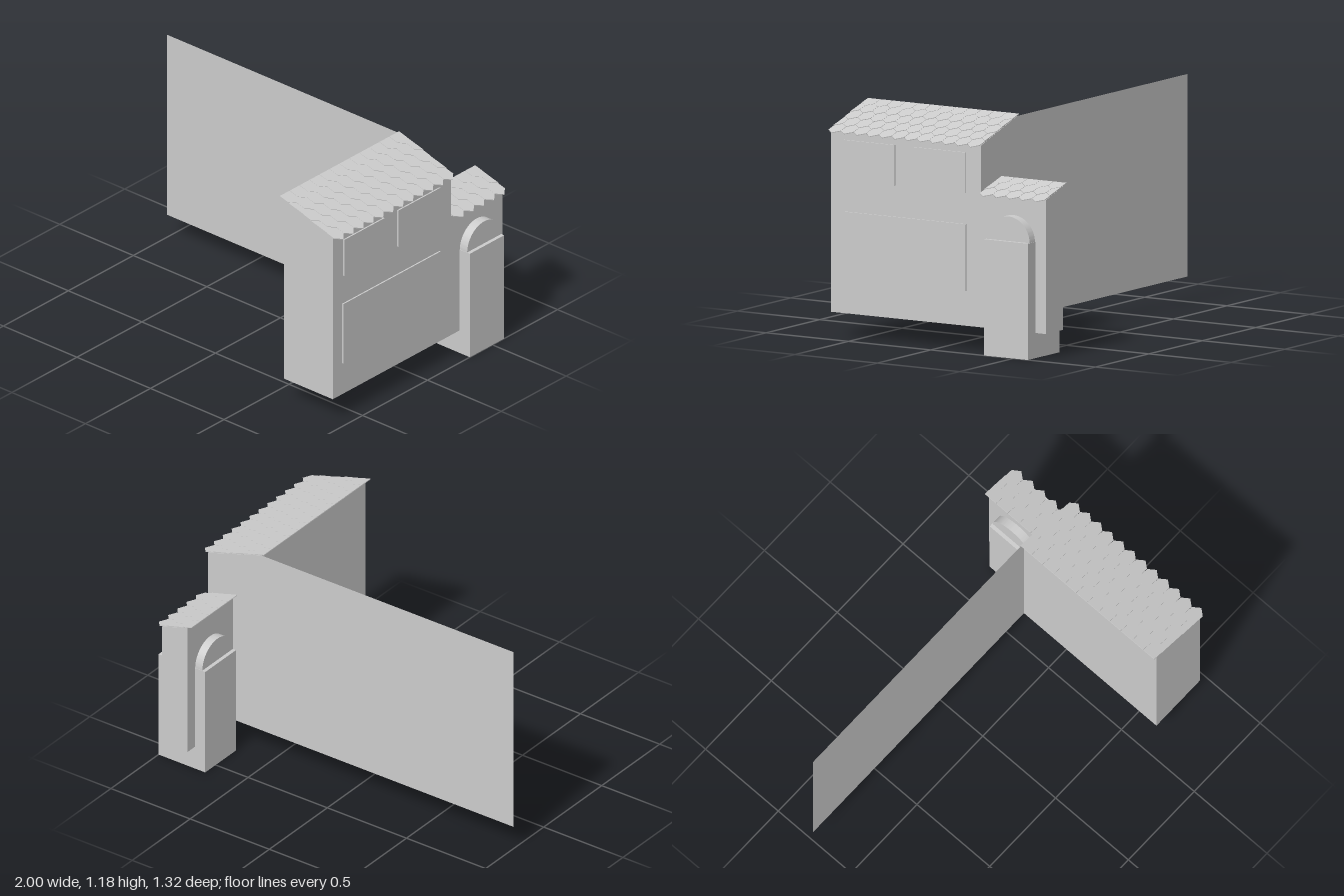
import * as THREE from 'three';
import { mergeGeometries, toCreasedNormals } from 'three/addons/utils/BufferGeometryUtils.js';

const material = new THREE.MeshStandardMaterial({ color: 0xcccccc });
const thinMaterial = new THREE.MeshStandardMaterial({ color: 0xcccccc, side: THREE.DoubleSide });
const SLOPE = 0.305; // roof pitch in radians

function box(name, x0, x1, y0, y1, z0, z1) {
  const mesh = new THREE.Mesh(new THREE.BoxGeometry(x1 - x0, y1 - y0, z1 - z0), material);
  mesh.position.set((x0 + x1) / 2, (y0 + y1) / 2, (z0 + z1) / 2);
  mesh.name = name;
  return mesh;
}

// Block with a lean-to top, extruded along z
function leanTo(name, x0, x1, y0, yHigh, z0, z1) {
  const yLow = yHigh - (x1 - x0) * Math.tan(SLOPE);
  const shape = new THREE.Shape([[x0, y0], [x1, y0], [x1, yLow], [x0, yHigh]].map(p => new THREE.Vector2(...p)));
  const mesh = new THREE.Mesh(new THREE.ExtrudeGeometry(shape, { depth: z1 - z0, bevelEnabled: false }), material);
  mesh.position.z = z0;
  mesh.name = name;
  return mesh;
}

// One pointed shingle: u runs down the slope, w across it; side -1 or 1 gives a half shingle
function shingle(head, tip, w, width, side) {
  const h = width / 2 - 0.001, shoulder = tip - 0.032;
  const left = side > 0 ? 0 : -h, right = side < 0 ? 0 : h;
  const points = [[head, left], [left ? shoulder : tip, left]];
  if (!side) points.push([tip, 0]);
  points.push([right ? shoulder : tip, right], [head, right]);
  const shape = new THREE.Shape(points.map(([u, v]) => new THREE.Vector2(u - head, v)));
  const g = new THREE.ExtrudeGeometry(shape, { depth: 0.004, bevelEnabled: false });
  g.rotateX(-Math.PI / 2).rotateZ(0.04).translate(head, 0, -w);
  return g;
}

// Staggered rows of shingles on the slope
function tiledRoof(name, x, y, z0, z1, length, rows, columns) {
  const width = (z1 - z0) / columns, pitch = length / (rows + 0.1);
  const parts = [];
  for (let r = 0; r < rows; r++) {
    const tip = length - r * pitch, head = Math.max(0, tip - 0.12);
    const shifted = r % 2;
    for (let c = 0; c < columns + shifted; c++) {
      const w = (c + (shifted ? 0 : 0.5)) * width;
      const side = shifted && c === 0 ? 1 : shifted && c === columns ? -1 : 0;
      parts.push(shingle(head, tip, w, width, side));
    }
  }
  const mesh = new THREE.Mesh(mergeGeometries(parts), material);
  mesh.position.set(x, y, z1);
  mesh.rotation.z = -SLOPE;
  mesh.name = name;
  return mesh;
}

export function createModel() {
  const model = new THREE.Group();
  model.name = 'building';

  // Long thin wall, flush with the end of the main block
  const wall = new THREE.Mesh(new THREE.PlaneGeometry(1.6, 1.045), thinMaterial);
  wall.position.set(-0.2, 0.6525, -0.26);
  wall.name = 'longWall';
  model.add(wall);

  // Main block and lower entrance block
  model.add(leanTo('mainBlock', 0.6, 0.93, 0.13, 1.172, -0.26, 0.65));
  model.add(leanTo('entranceBlock', 0.77, 0.93, 0.13, 0.872, -0.655, -0.26));

  // Raised window panels
  model.add(box('upperWindowFront', 0.92, 0.938, 0.815, 1.025, 0.26, 0.57));
  model.add(box('upperWindowRear', 0.92, 0.938, 0.815, 1.025, -0.17, 0.155));
  model.add(box('largeWindow', 0.92, 0.938, 0.31, 0.655, -0.172, 0.578));

  // Doorway passing through the entrance block, with a rounded head
  model.add(box('doorway', 0.705, 1, 0, 0.6, -0.59, -0.325));
  const half = new THREE.Shape();
  half.absarc(0, 0, 0.13, 0, Math.PI);
  half.closePath();
  const archGeometry = new THREE.ExtrudeGeometry(half, { depth: 0.255, bevelEnabled: false, curveSegments: 28 });
  const arch = new THREE.Mesh(toCreasedNormals(archGeometry.rotateY(Math.PI / 2), 0.6), material);
  arch.position.set(0.725, 0.597, -0.4575);
  arch.name = 'doorArch';
  model.add(arch);

  // Shingled roofs
  model.add(tiledRoof('mainRoof', 0.575, 1.181, -0.262, 0.658, 0.417, 5, 12));
  model.add(tiledRoof('entranceRoof', 0.742, 0.882, -0.658, -0.262, 0.243, 3, 5));

  return model;
}
